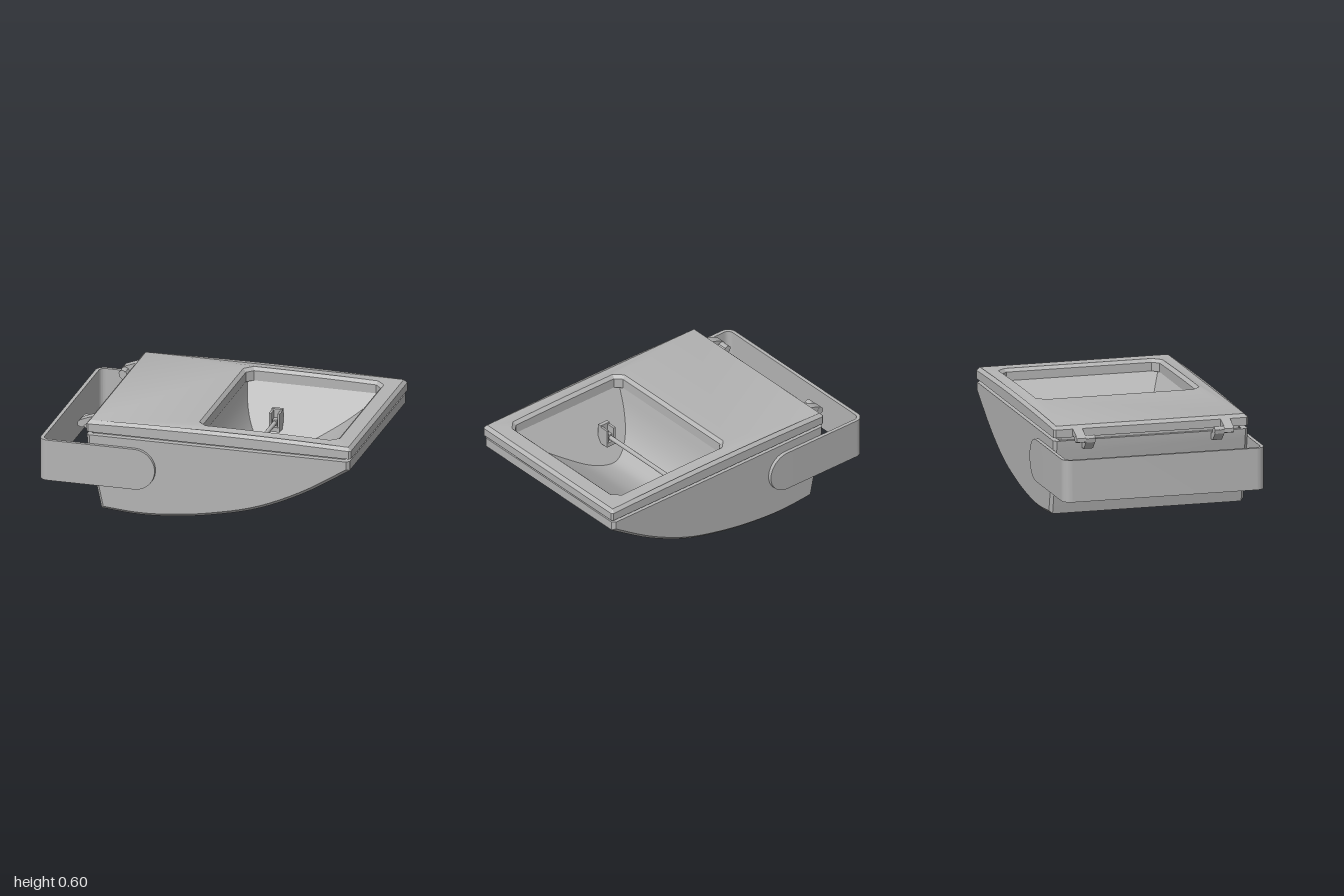
import * as THREE from 'three';
import { toCreasedNormals } from 'three/addons/utils/BufferGeometryUtils.js';

const grey = new THREE.MeshStandardMaterial({ color: 0xb4b4b4, side: THREE.DoubleSide });
grey.name = 'grey metal';

const V = (x, y) => new THREE.Vector2(x, y);

function add(parent, name, geometry, x = 0, y = 0, z = 0) {
  const mesh = new THREE.Mesh(toCreasedNormals(geometry, 0.5), grey);
  mesh.name = name;
  mesh.position.set(x, y, z);
  parent.add(mesh);
  return mesh;
}

// Extrude along z; a bevel stays within the outline and the depth
function extrude(shape, depth, bevel = 0) {
  const geometry = new THREE.ExtrudeGeometry(shape, {
    depth: depth - 2 * bevel, bevelEnabled: bevel > 0, bevelSize: bevel,
    bevelThickness: bevel, bevelOffset: -bevel, bevelSegments: 1, curveSegments: 12,
  });
  return geometry.translate(0, 0, bevel);
}

// Extrude upwards from y = 0 a shape drawn in plan
const extrudeUp = (shape, depth, bevel) => extrude(shape, depth, bevel).rotateX(-Math.PI / 2);

// Rectangle with cut corners, its long edges divided so that it can be crowned
function cutRectangle(x0, x1, halfZ, cut, steps = 10) {
  const points = [];
  for (const s of [-1, 1]) {
    for (let i = 0; i <= steps; i++) {
      const t = s < 0 ? i / steps : 1 - i / steps;
      points.push(V(x0 + cut + (x1 - x0 - 2 * cut) * t, s * halfZ));
    }
    const x = s < 0 ? x1 : x0;
    points.push(V(x, s * (halfZ - cut)));
  }
  // Each side end needs both of its corner cuts
  points.splice(steps + 2, 0, V(x1, halfZ - cut));
  points.push(V(x0, -(halfZ - cut)));
  return points;
}

function frame(outer, hole) {
  const shape = new THREE.Shape(outer);
  shape.holes.push(new THREE.Path(hole));
  return shape;
}

// Housing: bent wall open at the top, closed by two chamfered side plates
function buildHousing(parent) {
  const belly = new THREE.SplineCurve([
    V(-0.605, 0.02), V(-0.37, 0.003), V(-0.15, 0.014), V(0.1, 0.05), V(0.4, 0.125),
    V(0.7, 0.26), V(0.99, 0.44),
  ]).getPoints(28);
  const outline = [V(-0.7, 0.5), V(-0.695, 0.44), ...belly, V(0.99, 0.5)];
  const inner = outline.map((p) => V(p.x * 0.965, Math.min(0.5, p.y + 0.03)));
  inner[0].y = 0.5;
  const wall = new THREE.Shape([...outline, ...inner.reverse()]);
  add(parent, 'housingWall', extrude(wall, 1.21), 0, 0, -0.605);

  for (const side of [-1, 1]) {
    const plate = extrude(new THREE.Shape(outline), 0.04, 0.019);
    const pos = plate.attributes.position;
    for (let i = 0; i < pos.count; i++) if (pos.getY(i) > 0.475) pos.setY(i, 0.5);
    add(parent, side > 0 ? 'leftSidePlate' : 'rightSidePlate', plate, 0, 0, side * 0.605 - 0.02);
  }
}

// Lid with a window, slightly crowned on top, over a recessed gasket
function buildLid(parent) {
  const edge = cutRectangle(-0.7, 1, 0.625, 0.012);
  const opening = cutRectangle(0.005, 0.87, 0.507, 0.04);
  const gasketEdge = cutRectangle(-0.67, 0.96, 0.58, 0.01);
  const gasketHole = cutRectangle(-0.04, 0.92, 0.54, 0.01);
  add(parent, 'gasket', extrudeUp(frame(gasketEdge, gasketHole), 0.05), 0, 0.48);
  add(parent, 'lidRim', extrudeUp(frame(edge, opening), 0.05), 0, 0.52);

  const top = extrudeUp(frame(edge, opening), 0.054, 0.02).translate(0, 0.55, 0);
  const pos = top.attributes.position;
  for (let i = 0; i < pos.count; i++) {
    if (pos.getY(i) < 0.575) continue;
    const u = (pos.getX(i) - 0.15) / 0.85;
    pos.setY(i, pos.getY(i) - 0.013 * u * u);
  }
  add(parent, 'lidTop', top);
}

// Reflector: curved trough with two sloping cheeks
function buildReflector(parent) {
  const rim = 0.53;
  const curve = new THREE.SplineCurve([
    V(0, 0), V(0.025, 0.13), V(0.065, 0.24), V(0.12, 0.32), V(0.19, 0.37), V(0.27, 0.375),
    V(0.4, 0.335), V(0.55, 0.25), V(0.7, 0.15), V(0.885, 0),
  ]).getPoints(36);
  const vertices = [];
  const index = [];
  curve.forEach(({ x, y: depth }, i) => {
    const z = 0.515 - 0.6 * depth;
    vertices.push(x, rim, 0.515, x, rim - depth, z, x, rim - depth, -z, x, rim, -0.515);
    if (i === 0) return;
    for (let k = 0; k < 3; k++) {
      const a = (i - 1) * 4 + k;
      const b = i * 4 + k;
      index.push(a, b, a + 1, b, b + 1, a + 1);
    }
  });
  const geometry = new THREE.BufferGeometry();
  geometry.setAttribute('position', new THREE.Float32BufferAttribute(vertices, 3));
  geometry.setIndex(index);
  add(parent, 'reflector', geometry);
}

// Thin lamp tube held by a forked socket at each end
function buildLamp(parent) {
  const x = 0.235;
  const y = 0.33;
  add(parent, 'lampTube', new THREE.CylinderGeometry(0.014, 0.014, 0.62, 16).rotateX(Math.PI / 2), x, y, 0);
  for (const side of [-1, 1]) {
    const socket = new THREE.Group();
    socket.name = side > 0 ? 'leftSocket' : 'rightSocket';
    socket.position.set(x, y, side * 0.345);
    add(socket, 'socketBack', new THREE.BoxGeometry(0.07, 0.13, 0.025), 0, 0.01, side * 0.03);
    add(socket, 'socketBase', new THREE.BoxGeometry(0.07, 0.03, 0.085), 0, -0.04, 0);
    for (const s of [-1, 1]) {
      add(socket, 'socketFork', new THREE.BoxGeometry(0.015, 0.11, 0.06), s * 0.0275, 0.01, -side * 0.01);
    }
    add(socket, 'socketContact', new THREE.BoxGeometry(0.03, 0.04, 0.04), 0, 0, -side * 0.01);
    parent.add(socket);
  }
}

// Mounting bracket: bent strip with rounded arm ends
function buildBracket(parent) {
  const armEnd = -0.385;
  const low = 0.18;
  const height = 0.265;
  const strip = new THREE.Shape();
  strip.moveTo(armEnd, -0.65);
  strip.lineTo(armEnd, -0.627);
  strip.lineTo(-0.94, -0.627);
  strip.absarc(-0.94, -0.59, 0.037, -Math.PI / 2, -Math.PI, true);
  strip.lineTo(-0.977, 0.59);
  strip.absarc(-0.94, 0.59, 0.037, Math.PI, Math.PI / 2, true);
  strip.lineTo(armEnd, 0.627);
  strip.lineTo(armEnd, 0.65);
  strip.lineTo(-0.94, 0.65);
  strip.absarc(-0.94, 0.59, 0.06, Math.PI / 2, Math.PI, false);
  strip.lineTo(-1, -0.59);
  strip.absarc(-0.94, -0.59, 0.06, Math.PI, Math.PI * 1.5, false);
  add(parent, 'bracketStrip', extrudeUp(strip, height), 0, low);

  const end = new THREE.Shape();
  end.absarc(0, 0, height / 2, -Math.PI / 2, Math.PI / 2, false);
  for (const z of [-0.65, 0.627]) {
    add(parent, 'bracketArmEnd', extrude(end, 0.023), armEnd, low + height / 2, z);
  }
}

// Hinges: a lid arm and a housing lug sharing one round pin
function buildHinges(parent) {
  const arm = new THREE.Shape([
    V(-0.67, 0.58), V(-0.71, 0.57), V(-0.775, 0.545), V(-0.79, 0.53), V(-0.79, 0.505),
    V(-0.765, 0.5), V(-0.72, 0.53), V(-0.67, 0.53),
  ]);
  const lug = new THREE.Shape([
    V(-0.68, 0.45), V(-0.735, 0.45), V(-0.785, 0.5), V(-0.79, 0.525), V(-0.77, 0.542),
    V(-0.745, 0.535), V(-0.72, 0.49), V(-0.68, 0.49),
  ]);
  for (const side of [-1, 1]) {
    const z = side * 0.445;
    add(parent, 'hingeArm', extrude(arm, 0.06), 0, 0, z + (side > 0 ? 0 : -0.06));
    add(parent, 'hingeLug', extrude(lug, 0.06), 0, 0, z + (side > 0 ? -0.06 : 0));
    add(parent, 'hingePin', new THREE.CylinderGeometry(0.022, 0.022, 0.122, 16).rotateX(Math.PI / 2), -0.766, 0.52, z);
  }
}

export function createModel() {
  const model = new THREE.Group();
  model.name = 'floodlight';
  const builders = {
    housing: buildHousing, lid: buildLid, reflector: buildReflector,
    lamp: buildLamp, bracket: buildBracket, hinges: buildHinges,
  };
  for (const [name, build] of Object.entries(builders)) {
    const group = new THREE.Group();
    group.name = name;
    build(group);
    model.add(group);
  }
  return model;
}
